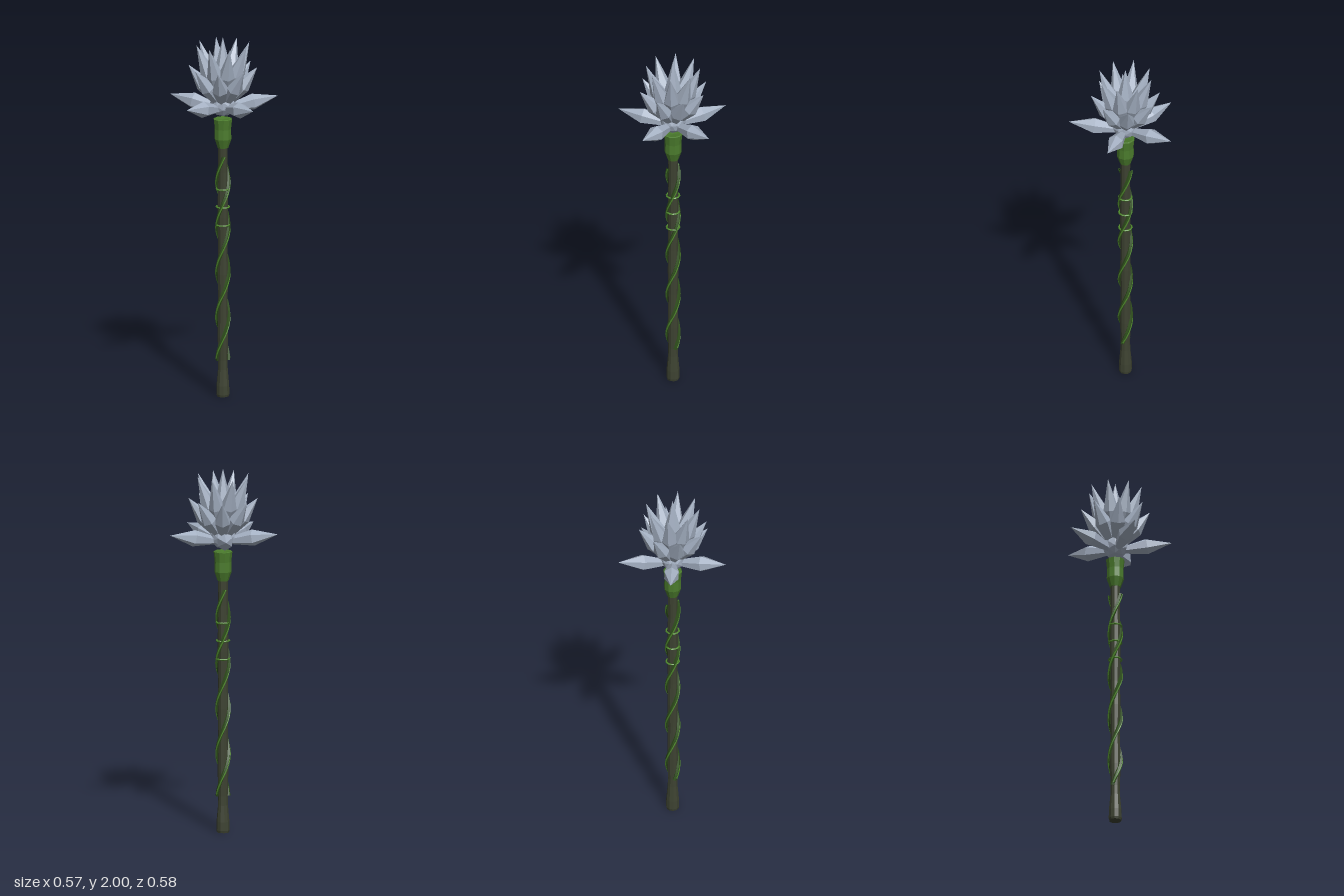
import * as THREE from 'three';

const mat = (color) => new THREE.MeshStandardMaterial({ color, flatShading: true });
const crystal = mat(0xa4b0c2);
const wood = mat(0x3d4231);
const leaf = mat(0x4a7a2c);
const vineDark = mat(0x2f4f1c);
const vineLight = mat(0x4f8a2c);

function lathe(name, profile, sides, material) {
  const pts = profile.map(([r, y]) => new THREE.Vector2(r, y));
  const mesh = new THREE.Mesh(new THREE.LatheGeometry(pts, sides), material);
  mesh.name = name;
  return mesh;
}

// Six-sided crystal petal growing from the flower's heart
function petal(name, length, tilt, heading) {
  const p = lathe(name, [[0, 0], [0.016, 0.02], [0.045, length * 0.55], [0, length]], 6, crystal);
  p.rotation.order = 'YXZ';
  p.rotation.set(tilt, heading, 0);
  return p;
}

// Ring of petals; reach and rise place the tip relative to the heart
function petalRing(name, count, reach, rise, start) {
  const ring = new THREE.Group();
  ring.name = name;
  for (let i = 0; i < count; i++) {
    ring.add(petal('petal', Math.hypot(reach, rise), Math.atan2(reach, rise), start + (i * 2 * Math.PI) / count));
  }
  return ring;
}

// Vine winding round the shaft, half a turn every 0.25 units
function vine(name, radius, thickness, phase, y0, y1, material) {
  const pts = [];
  for (let i = 0; i <= 40; i++) {
    const y = y0 + ((y1 - y0) * i) / 40;
    const t = Math.PI / 2 + phase + ((y - 0.41) / 0.25) * Math.PI;
    pts.push(new THREE.Vector3(radius * Math.sin(t), y, radius * Math.cos(t)));
  }
  const path = new THREE.CatmullRomCurve3(pts);
  const mesh = new THREE.Mesh(new THREE.TubeGeometry(path, 80, thickness, 5), material);
  mesh.name = name;
  return mesh;
}

export function createModel() {
  const model = new THREE.Group();
  model.name = 'flowerStaff';
  const staff = new THREE.Group();
  staff.name = 'staff';
  staff.position.set(0.014, 0, -0.015);
  model.add(staff);

  // Shaft with flared foot
  staff.add(lathe('shaft', [
    [0, 0], [0.033, 0], [0.036, 0.012], [0.035, 0.06], [0.027, 0.15], [0.026, 0.2],
    [0.029, 0.33], [0.026, 0.54], [0.029, 0.68], [0.026, 0.82], [0.029, 1.0],
    [0.028, 1.15], [0.026, 1.25], [0.027, 1.4], [0, 1.4],
  ], 10, wood));

  // Green cup under the flower
  staff.add(lathe('cup', [
    [0, 1.385], [0.03, 1.385], [0.047, 1.435], [0.045, 1.49], [0.051, 1.545], [0.044, 1.548], [0, 1.54],
  ], 10, leaf));

  // Two opposed vines, each a thick stem with a bright strand on its outside
  for (const phase of [0, Math.PI]) {
    staff.add(vine('vineStem', 0.03, 0.0105, phase, 0.2, 1.34, vineDark));
    staff.add(vine('vineStrand', 0.038, 0.004, phase + 0.15, 0.21, 1.34, vineLight));
  }

  // Binding rings
  for (const y of [0.955, 1.055, 1.155]) {
    const ring = new THREE.Mesh(new THREE.TorusGeometry(0.035, 0.005, 5, 12), vineLight);
    ring.name = 'bindingRing';
    ring.rotation.x = Math.PI / 2;
    ring.position.y = y;
    staff.add(ring);
  }

  // Floating crystal flower
  const flower = new THREE.Group();
  flower.name = 'flower';
  flower.position.y = 1.6;
  const core = new THREE.Mesh(new THREE.IcosahedronGeometry(0.07, 1), crystal);
  core.name = 'flowerCore';
  core.position.y = 0.03;
  flower.add(
    core,
    petal('centrePetal', 0.4, 0, 0),
    petalRing('innerPetals', 8, 0.147, 0.365, 0),
    petalRing('middlePetals', 8, 0.187, 0.24, Math.PI / 8),
    petalRing('outerPetals', 5, 0.306, 0.055, THREE.MathUtils.degToRad(62.8)),
  );
  staff.add(flower);
  return model;
}
